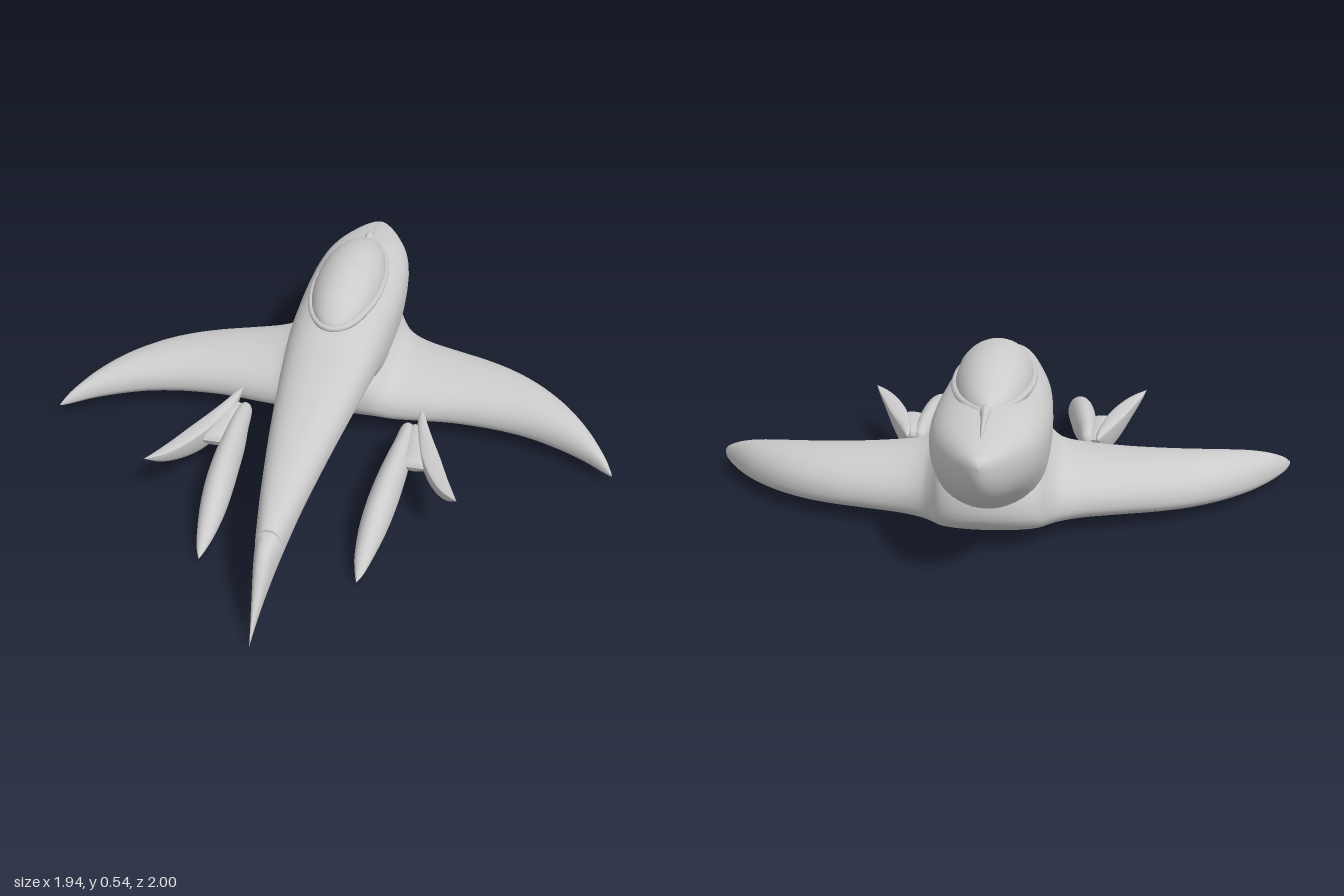
import * as THREE from 'three';

const material = new THREE.MeshStandardMaterial({ color: 0xcccccc, side: THREE.DoubleSide });

// Smoothly subdivide rows of numbers (uniform Catmull-Rom on every column).
function refine(rows, steps) {
  const out = [];
  for (let i = 0; i < rows.length - 1; i++) {
    const p0 = rows[Math.max(i - 1, 0)], p1 = rows[i], p2 = rows[i + 1];
    const p3 = rows[Math.min(i + 2, rows.length - 1)];
    for (let s = 0; s < steps; s++) {
      const t = s / steps;
      out.push(p1.map((b, k) => {
        const a = p0[k], c = p2[k], d = p3[k];
        return 0.5 * (2 * b + (c - a) * t + (2 * a - 5 * b + 4 * c - d) * t * t
          + (3 * b - a - 3 * c + d) * t * t * t);
      }));
    }
  }
  out.push(rows[rows.length - 1]);
  return out;
}

// Loft of rounded sections. Row: [station, centre, halfWidth, top, widestY, bottom].
function loft(name, rows, { axis = 'z', up = 2, down = 2, steps = 5, sides = 48 } = {}) {
  const pos = [], index = [];
  const fine = refine(rows, steps);
  const curve = (v, n) => Math.sign(v) * Math.pow(Math.abs(v), 2 / n);
  fine.forEach(([st, c, half, top, mid, bottom], i) => {
    for (let j = 0; j < sides; j++) {
      const a = (j / sides) * Math.PI * 2, s = Math.sin(a), n = s >= 0 ? up : down;
      const u = c + Math.max(half, 0) * curve(Math.cos(a), n);
      const y = mid + (s >= 0 ? top - mid : mid - bottom) * curve(s, n);
      pos.push(...(axis === 'z' ? [u, y, st] : [st, y, u]));
      if (i === fine.length - 1) continue;
      const p = i * sides + j, q = i * sides + (j + 1) % sides;
      const r = p + sides, t = q + sides;
      index.push(...(axis === 'z' ? [p, q, r, q, t, r] : [p, r, q, q, r, t]));
    }
  });
  const g = new THREE.BufferGeometry();
  g.setAttribute('position', new THREE.Float32BufferAttribute(pos, 3));
  g.setIndex(index);
  g.computeVertexNormals();
  const mesh = new THREE.Mesh(g, material);
  mesh.name = name;
  return mesh;
}

function tube(name, points, radius, closed) {
  const path = new THREE.CatmullRomCurve3(points, closed);
  const mesh = new THREE.Mesh(new THREE.TubeGeometry(path, 96, radius, 8, closed), material);
  mesh.name = name;
  return mesh;
}

export function createModel() {
  const model = new THREE.Group();
  model.name = 'glider';

  // Long drooping body, blunt at -z and beaked at +z
  model.add(loft('fuselage', [
    [-1, 0, 0, 0.37, 0.37, 0.37], [-0.99, 0, 0.022, 0.387, 0.362, 0.325],
    [-0.96, 0, 0.05, 0.4, 0.355, 0.278], [-0.9, 0, 0.09, 0.415, 0.345, 0.235],
    [-0.8, 0, 0.137, 0.432, 0.335, 0.19], [-0.7, 0, 0.163, 0.445, 0.325, 0.135],
    [-0.6, 0, 0.174, 0.447, 0.32, 0.06], [-0.5, 0, 0.178, 0.445, 0.315, 0.035],
    [-0.4, 0, 0.178, 0.443, 0.31, 0.03], [-0.3, 0, 0.175, 0.441, 0.305, 0.04],
    [-0.2, 0, 0.171, 0.437, 0.3, 0.08], [-0.1, 0, 0.163, 0.424, 0.295, 0.165],
    [0, 0, 0.152, 0.403, 0.29, 0.197], [0.2, 0, 0.127, 0.37, 0.275, 0.2],
    [0.4, 0, 0.099, 0.335, 0.255, 0.185], [0.6, 0, 0.069, 0.29, 0.22, 0.157],
    [0.7, 0, 0.053, 0.262, 0.19, 0.133], [0.765, 0, 0.042, 0.241, 0.165, 0.113],
    [0.775, 0, 0.04, 0.226, 0.16, 0.109], [0.84, 0, 0.029, 0.203, 0.13, 0.083],
    [0.92, 0, 0.014, 0.107, 0.075, 0.046], [1, 0, 0, 0.004, 0.002, 0],
  ], { up: 2.4, down: 2 }));

  // Swept wing, flat below, flared where it meets the body: [x, leadZ, trailZ, top, bottom]
  const half = [
    [0, -0.72, -0.07, 0.33, 0.022], [0.08, -0.71, -0.072, 0.32, 0.022],
    [0.14, -0.68, -0.08, 0.29, 0.022], [0.175, -0.63, -0.092, 0.242, 0.022],
    [0.21, -0.59, -0.1, 0.212, 0.022], [0.28, -0.548, -0.112, 0.197, 0.022],
    [0.4, -0.507, -0.13, 0.187, 0.022], [0.5, -0.475, -0.132, 0.18, 0.022],
    [0.6, -0.43, -0.125, 0.172, 0.022], [0.7, -0.363, -0.104, 0.16, 0.023],
    [0.8, -0.267, -0.067, 0.14, 0.024], [0.88, -0.16, -0.028, 0.111, 0.026],
    [0.94, -0.055, 0.01, 0.075, 0.029], [0.965, 0.005, 0.025, 0.05, 0.034],
    [0.972, 0.03, 0.03, 0.04, 0.04],
  ].map(([x, lead, trail, top, bottom]) =>
    [x, (lead + trail) / 2, (trail - lead) / 2, top, bottom + (top - bottom) * 0.36, bottom]);
  const mirrored = half.slice(1).reverse().map(([x, ...rest]) => [-x, ...rest]);
  model.add(loft('wing', [...mirrored, ...half], { axis: 'x', up: 2.1, down: 2.5 }));

  // Egg-shaped canopy: [z, halfWidth, top]
  const egg = [
    [-0.73, 0, 0.442], [-0.7, 0.035, 0.459], [-0.65, 0.066, 0.482], [-0.58, 0.092, 0.51],
    [-0.48, 0.112, 0.534], [-0.38, 0.118, 0.54], [-0.28, 0.113, 0.533],
    [-0.18, 0.093, 0.508], [-0.12, 0.067, 0.477], [-0.08, 0.032, 0.445], [-0.07, 0, 0.428],
  ];
  model.add(loft('canopy', egg.map(([z, w, top]) => [z, 0, w, top, 0.425, 0.4])));

  // Rim around the canopy and a fine seam across it
  const rimY = z => 0.437 - Math.max(0, z + 0.2) * 0.12;
  const edge = s => egg.map(([z, w]) => new THREE.Vector3(s * w, rimY(z), z));
  model.add(tube('canopyRim', [...edge(1), ...edge(-1).slice(1, -1).reverse()], 0.011, true));
  const arch = Array.from({ length: 13 }, (_, i) => {
    const a = (i / 12) * Math.PI;
    return new THREE.Vector3(Math.cos(a) * 0.116, 0.425 + Math.sin(a) * 0.112, -0.33);
  });
  model.add(tube('canopySeam', arch, 0.002, false));

  // Small spine running from the canopy to the blunt end
  model.add(loft('spine', [
    [-0.93, 0, 0, 0.405, 0.4, 0.39], [-0.86, 0, 0.007, 0.43, 0.41, 0.39],
    [-0.78, 0, 0.013, 0.45, 0.42, 0.4], [-0.73, 0, 0.018, 0.457, 0.43, 0.4],
    [-0.7, 0, 0, 0.45, 0.43, 0.41],
  ], { sides: 16 }));

  // Forked pods: [z, innerX, outerX, top, widestY, bottom]
  const pod = [
    [-0.01, 0.285, 0.285, 0.11, 0.11, 0.11], [0.01, 0.262, 0.308, 0.138, 0.11, 0.075],
    [0.1, 0.25, 0.316, 0.148, 0.1, 0.055], [0.2, 0.235, 0.318, 0.152, 0.09, 0.042],
    [0.3, 0.225, 0.316, 0.152, 0.085, 0.032], [0.4, 0.217, 0.31, 0.142, 0.075, 0.026],
    [0.5, 0.214, 0.298, 0.115, 0.06, 0.021], [0.6, 0.221, 0.278, 0.071, 0.042, 0.018],
    [0.66, 0.234, 0.261, 0.037, 0.025, 0.016], [0.692, 0.245, 0.245, 0.016, 0.016, 0.016],
  ];
  const fin = [
    [-0.08, 0.318, 0.318, 0.14, 0.14, 0.14], [-0.04, 0.314, 0.335, 0.147, 0.138, 0.11],
    [0.02, 0.318, 0.356, 0.15, 0.135, 0.07], [0.1, 0.335, 0.385, 0.15, 0.138, 0.05],
    [0.2, 0.36, 0.422, 0.152, 0.144, 0.056], [0.3, 0.4, 0.456, 0.156, 0.15, 0.085],
    [0.38, 0.447, 0.485, 0.161, 0.157, 0.123], [0.432, 0.502, 0.502, 0.166, 0.166, 0.166],
  ];
  const bridge = [
    [-0.005, 0.29, 0.34, 0.115, 0.115, 0.115], [0.015, 0.285, 0.35, 0.138, 0.115, 0.09],
    [0.1, 0.285, 0.37, 0.14, 0.115, 0.08], [0.2, 0.285, 0.39, 0.138, 0.115, 0.085],
    [0.225, 0.285, 0.385, 0.115, 0.115, 0.115],
  ];
  for (const side of [1, -1]) {
    const place = rows => rows.map(([z, a, b, ...ys]) => [z, side * (a + b) / 2, (b - a) / 2, ...ys]);
    const group = new THREE.Group();
    group.name = side > 0 ? 'leftForkedPod' : 'rightForkedPod';
    group.add(
      loft('pod', place(pod), { sides: 32 }),
      loft('outerFin', place(fin), { sides: 32, down: 1.7 }),
      loft('bridge', place(bridge), { sides: 24 }),
    );
    model.add(group);
  }
  return model;
}
